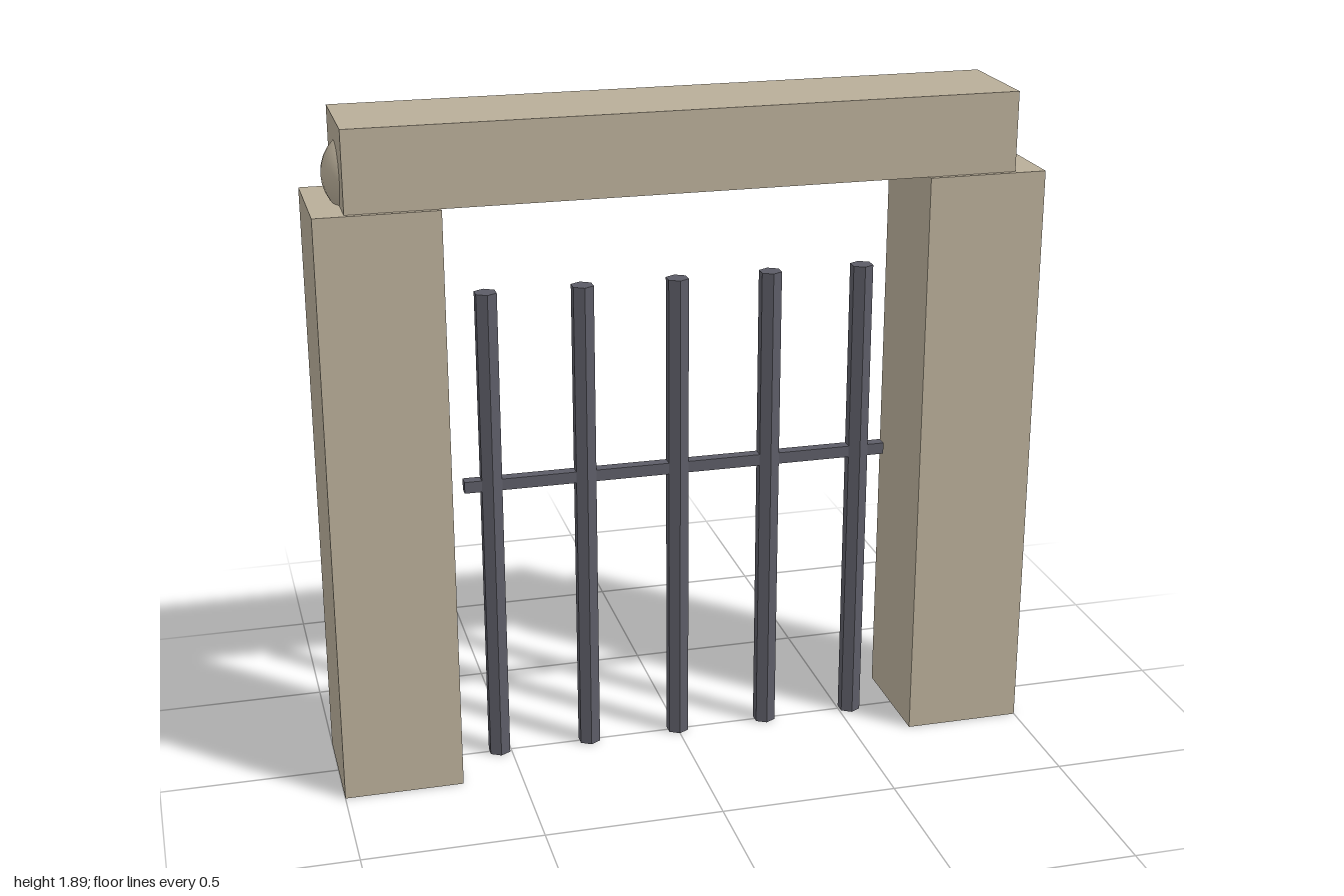
import * as THREE from 'three';

const stone = new THREE.MeshStandardMaterial({ color: 0xb8ad98 });
const iron = new THREE.MeshStandardMaterial({ color: 0x5c5c66, flatShading: true });

export function createModel() {
  const model = new THREE.Group();
  model.name = 'gateway';

  function add(name, geometry, material, x, y, z = 0, parent = model) {
    const mesh = new THREE.Mesh(geometry, material);
    mesh.name = name;
    mesh.position.set(x, y, z);
    parent.add(mesh);
    return mesh;
  }

  // Stone pillars, each with a ball half buried in the end of the lintel
  const pillarGeometry = new THREE.BoxGeometry(0.333, 1.667, 0.333);
  const ballGeometry = new THREE.SphereGeometry(0.122, 32, 16);
  for (const [side, s] of [['left', 1], ['right', -1]]) {
    add(side + 'Pillar', pillarGeometry, stone, s * 0.8335, 0.8335);
    add(side + 'Ball', ballGeometry, stone, s * 0.833, 1.738);
  }

  // Lintel resting on the pillars
  add('lintel', new THREE.BoxGeometry(1.833, 0.222, 0.306), stone, 0, 1.778);

  // Iron grille: five hexagonal bars and a square crossbar
  const grille = new THREE.Group();
  grille.name = 'grille';
  model.add(grille);
  const barGeometry = new THREE.CylinderGeometry(0.033, 0.033, 1.389, 6);
  for (let i = -2; i <= 2; i++) {
    add('bar' + (i + 3), barGeometry, iron, i * 0.267, 0.6945, 0, grille);
  }
  add('crossbar', new THREE.BoxGeometry(1.222, 0.033, 0.033), iron, 0, 0.835, 0, grille);

  return model;
}
